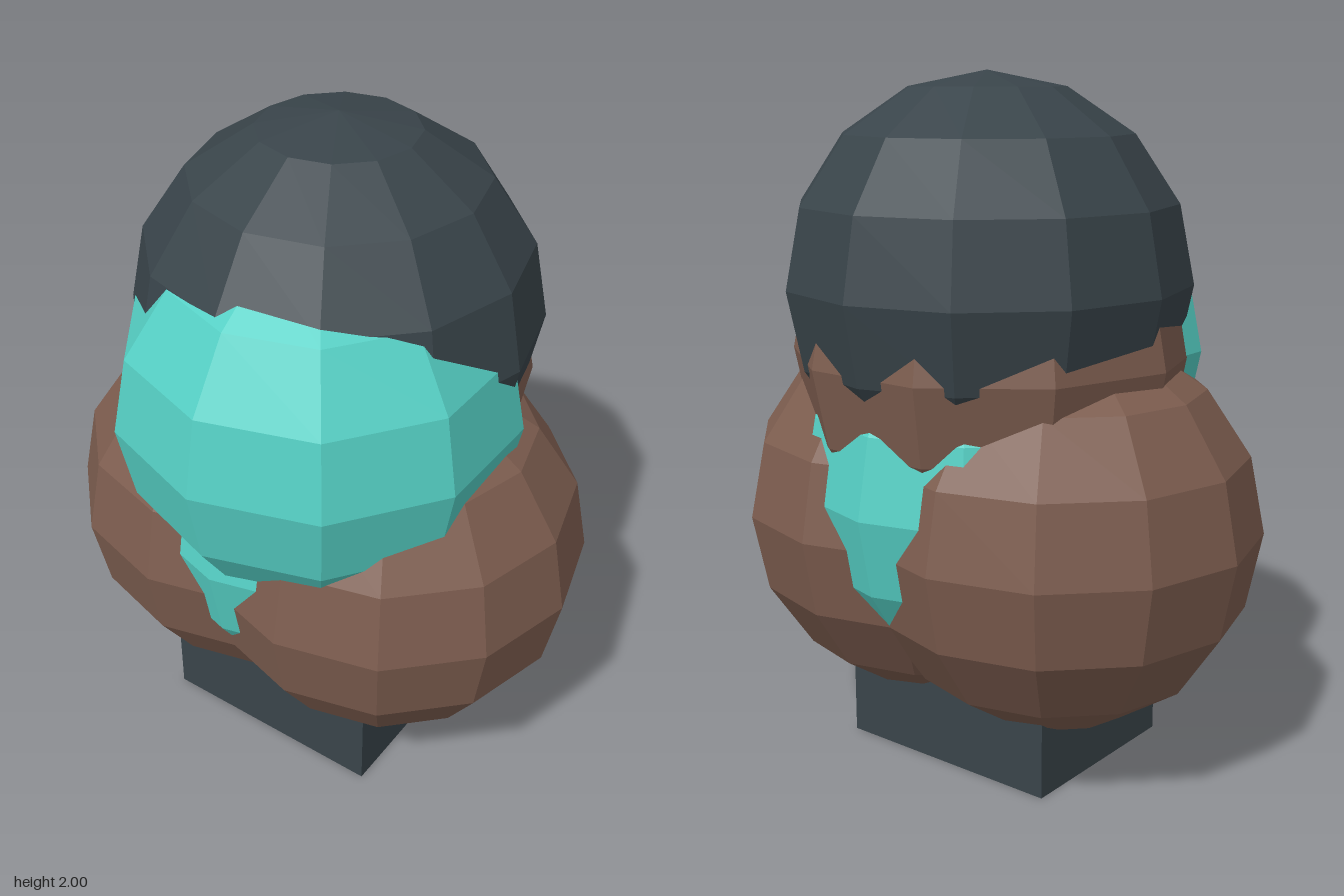
import * as THREE from 'three';

const material = (color) => new THREE.MeshStandardMaterial({ color, flatShading: true, roughness: 0.9 });

export function createModel() {
  const model = new THREE.Group();
  const dark = material(0x39444a);
  const brown = material(0x7d5d4f);
  const teal = material(0x55cfc4);

  // Every rounded part is a faceted ball of the same size
  function ball(name, mat, [x, y, z], sides = 12, turn = 0) {
    const mesh = new THREE.Mesh(new THREE.SphereGeometry(0.585, sides, 8), mat);
    mesh.name = name;
    mesh.position.set(x, y, z);
    mesh.rotation.y = turn;
    model.add(mesh);
  }

  // Square foot, sunk into the lower balls
  const base = new THREE.Mesh(new THREE.BoxGeometry(0.72, 0.58, 0.58), dark);
  base.name = 'base';
  base.position.y = 0.29;
  model.add(base);

  // Pair of lower balls
  for (const side of [-1, 1]) {
    ball(side > 0 ? 'leftLowerBall' : 'rightLowerBall', brown, [side * 0.227, 0.72, -0.035]);
  }

  // Core that shows between the lower balls, front and back
  ball('core', teal, [0, 0.83, -0.045]);

  // Head, face and cap
  ball('head', brown, [0, 1.215, -0.05], 10);
  ball('face', teal, [0.045, 1.22, 0.075], 10, Math.PI / 2);
  ball('cap', dark, [0, 1.415, -0.08]);

  return model;
}
